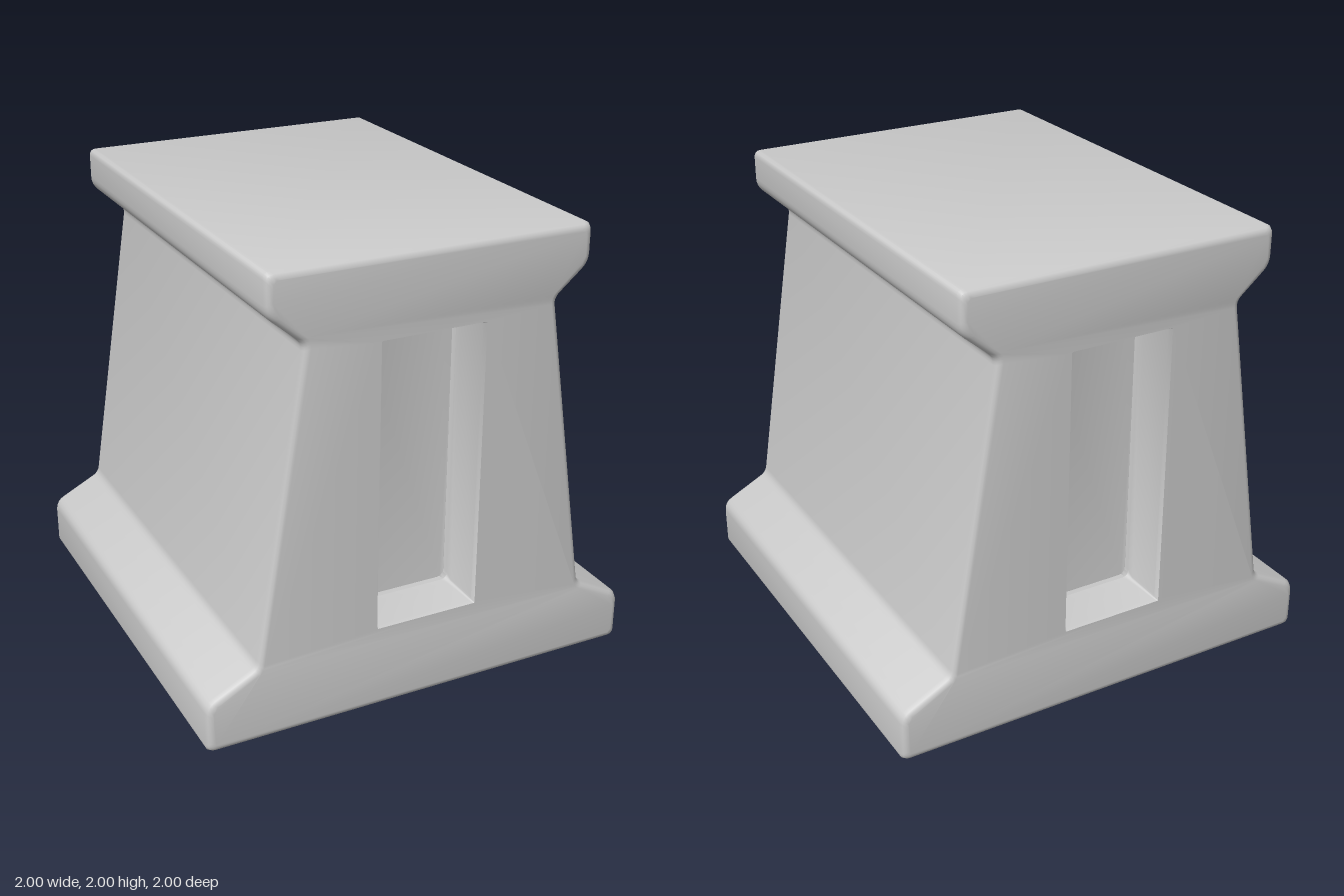
import * as THREE from 'three';
import { mergeGeometries, toCreasedNormals } from 'three/addons/utils/BufferGeometryUtils.js';

const V = (x, y) => new THREE.Vector2(x, y);

// Move every edge of a counter-clockwise polygon inwards by d
function inset(pts, d) {
  const n = pts.length;
  const normal = (a, b) => { const e = b.clone().sub(a).normalize(); return V(-e.y, e.x); };
  return pts.map((p, i) => {
    const n1 = normal(pts[(i + n - 1) % n], p), n2 = normal(p, pts[(i + 1) % n]);
    return p.clone().addScaledVector(n1.clone().add(n2), d / (1 + n1.dot(n2)));
  });
}

// Replace each corner by a short curve reaching `trim` along both edges
function roundCorners(pts, trims, steps = 4) {
  const n = pts.length, out = [];
  pts.forEach((p, i) => {
    const toward = (q) => p.clone().add(q.clone().sub(p).setLength(trims[i]));
    const curve = new THREE.QuadraticBezierCurve(toward(pts[(i + n - 1) % n]), p, toward(pts[(i + 1) % n]));
    out.push(...curve.getPoints(steps));
  });
  return out;
}

// Skin a list of { pts, z } sections
function loft(sections) {
  const pos = [], index = [], n = sections[0].pts.length;
  sections.forEach(({ pts, z }, s) => pts.forEach((p, j) => {
    pos.push(p.x, p.y, z);
    if (s === sections.length - 1) return;
    const a = s * n + j, b = s * n + (j + 1) % n;
    index.push(a, b, b + n, a, b + n, a + n);
  }));
  const g = new THREE.BufferGeometry();
  g.setAttribute('position', new THREE.Float32BufferAttribute(pos, 3));
  g.setIndex(index);
  return g;
}

function flat(pts, z, hole) {
  const shape = new THREE.Shape(pts);
  if (hole) shape.holes.push(new THREE.Path(hole));
  return new THREE.ShapeGeometry(shape).translate(0, 0, z);
}

function join(parts) {
  const bare = parts.map((p) => {
    const g = p.toNonIndexed();
    g.deleteAttribute('normal');
    g.deleteAttribute('uv');
    return g;
  });
  return toCreasedNormals(mergeGeometries(bare), 0.6);
}

export function createModel() {
  const group = new THREE.Group();
  const material = new THREE.MeshStandardMaterial({ color: 0xcccccc });
  const add = (name, geometry) => {
    const mesh = new THREE.Mesh(geometry, material);
    mesh.name = name;
    group.add(mesh);
    return mesh;
  };

  // Half profile from foot to top: x, y, corner trim
  const half = [[1, 0, 0.03], [1, 0.225, 0.04], [0.775, 0.34, 0.03],
    [0.56, 1.7, 0.03], [0.715, 1.83, 0.04], [0.715, 2, 0.03]];
  const full = [...half, ...half.map(([x, y, t]) => [-x, y, t]).reverse()];
  const corners = full.map(([x, y]) => V(x, y)), trims = full.map((c) => c[2]);
  const outline = (d) => roundCorners(inset(corners, d), trims);

  // Recess outlines
  const rect = (d, r) => roundCorners(
    inset([V(-0.235, 0.38), V(0.235, 0.38), V(0.235, 1.66), V(-0.235, 1.66)], d), [r, r, r, r]);
  const opening = rect(0, 0.006);

  // Body with softened end edges and a window in each end
  const ends = [[0.97, 0], [0.988, 0.007], [0.996, 0.016], [1, 0.028]];
  const sections = [...ends.map(([z, d]) => [-z, d]).reverse(), ...ends]
    .map(([z, d]) => ({ z, pts: outline(d) }));
  const endFace = flat(outline(0.028), 1, opening);
  add('body', join([loft(sections), endFace, endFace.clone().rotateY(Math.PI)]));

  // Recessed panels, front and back
  const recessSections = [[1, 0, 0.006], [0.98, 0.006, 0.01], [0.82, 0.01, 0.02],
    [0.79, 0.014, 0.03], [0.78, 0.026, 0.035]]
    .map(([z, d, r]) => ({ z, pts: rect(d, r) }));
  const recess = join([loft(recessSections), flat(rect(0.026, 0.035), 0.78)]);
  add('frontRecess', recess);
  add('backRecess', recess).rotation.y = Math.PI;

  return group;
}
